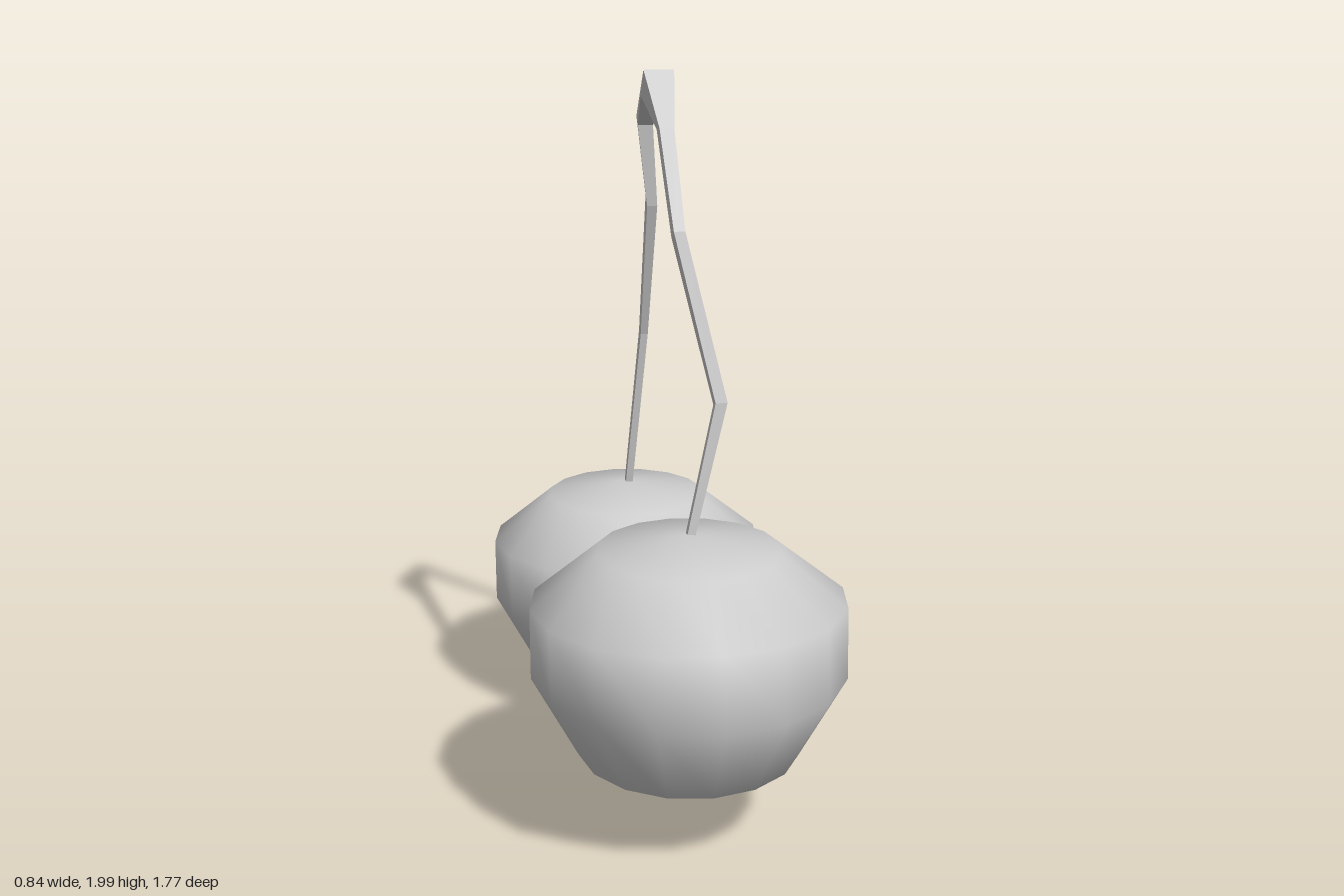
import * as THREE from 'three';
import { mergeVertices } from 'three/addons/utils/BufferGeometryUtils.js';

const SIDES = 16;

// Fruit: a lathe whose shoulder is narrowed in z and whose top point leans back to the stem
function fruitGeometry() {
  const profile = [[0, 0], [0.297, 0.1], [0.42, 0.33], [0.42, 0.52], [0.243, 0.66], [0, 0.685]];
  let geo = new THREE.LatheGeometry(profile.map(([r, y]) => new THREE.Vector2(r, y)), SIDES);
  const pos = geo.attributes.position;
  for (let i = 0; i < pos.count; i++) {
    const y = pos.getY(i);
    if (Math.abs(y - 0.52) < 0.01) pos.setZ(i, pos.getZ(i) * 0.92);
    if (y > 0.68) pos.setZ(i, -0.04);
  }
  geo.deleteAttribute('uv');
  geo.deleteAttribute('normal');
  geo = mergeVertices(geo, 1e-4);
  geo.computeVertexNormals();
  return geo;
}

// Stem: four-cornered sections joined in a loop
function stemGeometry() {
  // centre x, half width, outer z, outer y, inner z, inner y
  const sections = [
    [0.01, 0.011, 0.433, 0.82, 0.413, 0.82],
    [0.095, 0.016, 0.41, 1.18, 0.385, 1.17],
    [0.005, 0.015, 0.305, 1.61, 0.275, 1.59],
    [0.02, 0.02, 0.07, 1.85, 0.03, 1.845],
    [0.012, 0.042, 0, 2, -0.04, 1.93],
    [0.022, 0.022, -0.265, 1.86, -0.243, 1.835],
    [0.048, 0.015, -0.3, 1.63, -0.275, 1.6],
    [0.05, 0.011, -0.44, 1.2, -0.413, 1.19],
    [0.015, 0.011, -0.519, 0.675, -0.497, 0.675],
  ];
  const points = [], index = [];
  sections.forEach(([x, w, oz, oy, iz, iy], s) => {
    points.push(x - w, oy, oz, x + w, oy, oz, x + w, iy, iz, x - w, iy, iz);
    if (s === sections.length - 1) return;
    for (let k = 0; k < 4; k++) {
      const a = s * 4 + k, b = s * 4 + (k + 1) % 4;
      index.push(a, b, b + 4, a, b + 4, a + 4);
    }
  });
  const geo = new THREE.BufferGeometry();
  geo.setAttribute('position', new THREE.Float32BufferAttribute(points, 3));
  geo.setIndex(index);
  const flat = geo.toNonIndexed();
  flat.computeVertexNormals();
  return flat;
}

export function createModel() {
  const group = new THREE.Group();
  group.name = 'cherryPair';
  const smooth = new THREE.MeshStandardMaterial({ color: 0xcccccc });
  const faceted = new THREE.MeshStandardMaterial({ color: 0xcccccc, flatShading: true });

  // Two fruits, the front one hanging higher
  const fruit = fruitGeometry();
  for (const [name, y, z] of [['frontCherry', 0.15, 0.466], ['backCherry', 0.01, -0.466]]) {
    const mesh = new THREE.Mesh(fruit, smooth);
    mesh.name = name;
    mesh.position.set(0, y, z);
    group.add(mesh);
  }

  // Forked stem joining both fruits
  const stem = new THREE.Mesh(stemGeometry(), faceted);
  stem.name = 'stem';
  group.add(stem);
  return group;
}
